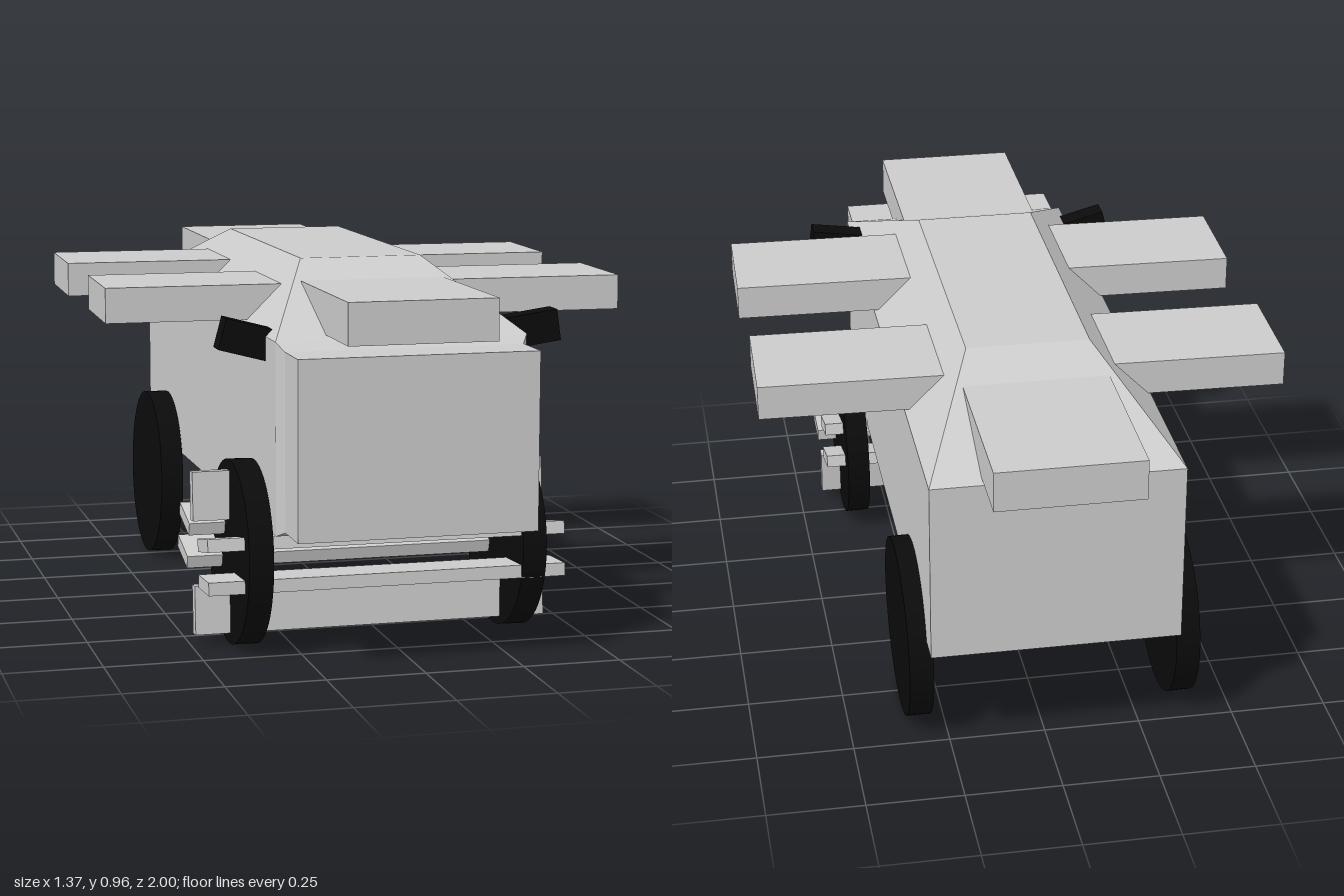
import * as THREE from 'three';

const grey = new THREE.MeshStandardMaterial({ color: 0xcccccc, flatShading: true });
const black = new THREE.MeshStandardMaterial({ color: 0x0b0b0b });

// Flat-sided loft through rectangular rings, each listed as four corners
// counter-clockwise when seen from the end of the loft.
function loft(rings) {
  const index = [];
  for (let r = 0; r < rings.length - 1; r++) {
    for (let i = 0; i < 4; i++) {
      const a = r * 4 + i, b = r * 4 + (i + 1) % 4;
      index.push(a, b, b + 4, a, b + 4, a + 4);
    }
  }
  const e = (rings.length - 1) * 4;
  index.push(0, 2, 1, 0, 3, 2, e, e + 1, e + 2, e, e + 2, e + 3);
  const g = new THREE.BufferGeometry();
  g.setAttribute('position', new THREE.Float32BufferAttribute(rings.flat(2), 3));
  g.setIndex(index);
  const flat = g.toNonIndexed();
  flat.computeVertexNormals();
  return flat;
}

const ringZ = (z, x0, x1, y0, y1) => [[x0, y0, z], [x1, y0, z], [x1, y1, z], [x0, y1, z]];
const ringY = (y, x0, x1, z0, z1) => [[x0, y, z1], [x1, y, z1], [x1, y, z0], [x0, y, z0]];

export function createModel() {
  const model = new THREE.Group();
  model.name = 'vehicle';

  const add = (name, geometry, material, pos = [0, 0, 0], rot = [0, 0, 0]) => {
    const mesh = new THREE.Mesh(geometry, material);
    mesh.name = name;
    mesh.position.set(...pos);
    mesh.rotation.set(...rot);
    model.add(mesh);
    return mesh;
  };
  const box = (name, size, material, pos, rot) =>
    add(name, new THREE.BoxGeometry(...size), material, pos, rot);

  // Hull with a slightly stepped-in nose
  add('body', loft([
    ringZ(-0.85, -0.33, 0.31, 0.32, 0.80),
    ringZ(0.815, -0.33, 0.31, 0.32, 0.80),
    ringZ(0.85, -0.315, 0.29, 0.335, 0.78),
    ringZ(0.98, -0.315, 0.29, 0.335, 0.78),
  ]), grey);

  // Sloped roof
  add('roof', loft([
    ringY(0.80, -0.33, 0.31, -0.85, 0.815),
    ringY(0.96, -0.17, 0.15, -0.42, 0.42),
  ]), grey);

  // Slabs reaching out over the front and back
  box('frontSlab', [0.375, 0.105, 0.6], grey, [-0.01, 0.862, 0.7]);
  box('backSlab', [0.375, 0.105, 0.6], grey, [-0.01, 0.862, -0.7]);

  // Cross slabs passing through the roof, slightly turned
  box('frontCrossSlab', [1.36, 0.09, 0.305], grey, [0, 0.855, 0.312], [0, -0.021, 0]);
  box('backCrossSlab', [1.36, 0.09, 0.305], grey, [0, 0.855, -0.295], [0, -0.021, 0]);

  // Side mirrors
  box('rightMirror', [0.125, 0.08, 0.06], black, [-0.378, 0.793, 0.68], [0, 0, -0.26]);
  box('leftMirror', [0.145, 0.08, 0.06], black, [0.36, 0.795, 0.68], [0, 0, 0.14]);

  // Wheels
  const wheel = new THREE.CylinderGeometry(0.235, 0.235, 0.062, 64).rotateZ(Math.PI / 2);
  [
    ['frontRightWheel', -0.367, 0.585],
    ['frontLeftWheel', 0.35, 0.55],
    ['backRightWheel', -0.367, -0.552],
    ['backLeftWheel', 0.325, -0.552],
  ].forEach(([name, x, z]) => add(name, wheel, black, [x, 0.237, z], [0, 0, -0.015]));

  // Six flat bars running through both front wheels: y, z, angle in degrees
  [
    [0.381, 0.567, 94],
    [0.282, 0.704, 11],
    [0.304, 0.474, -15],
    [0.183, 0.712, 3],
    [0.213, 0.447, -15],
    [0.092, 0.589, 94],
  ].forEach(([y, z, deg], i) => box('wheelBar' + (i + 1), [0.925, 0.033, 0.125], grey,
    [-0.028, y, z], [-THREE.MathUtils.degToRad(deg), 0, 0]));

  return model;
}
